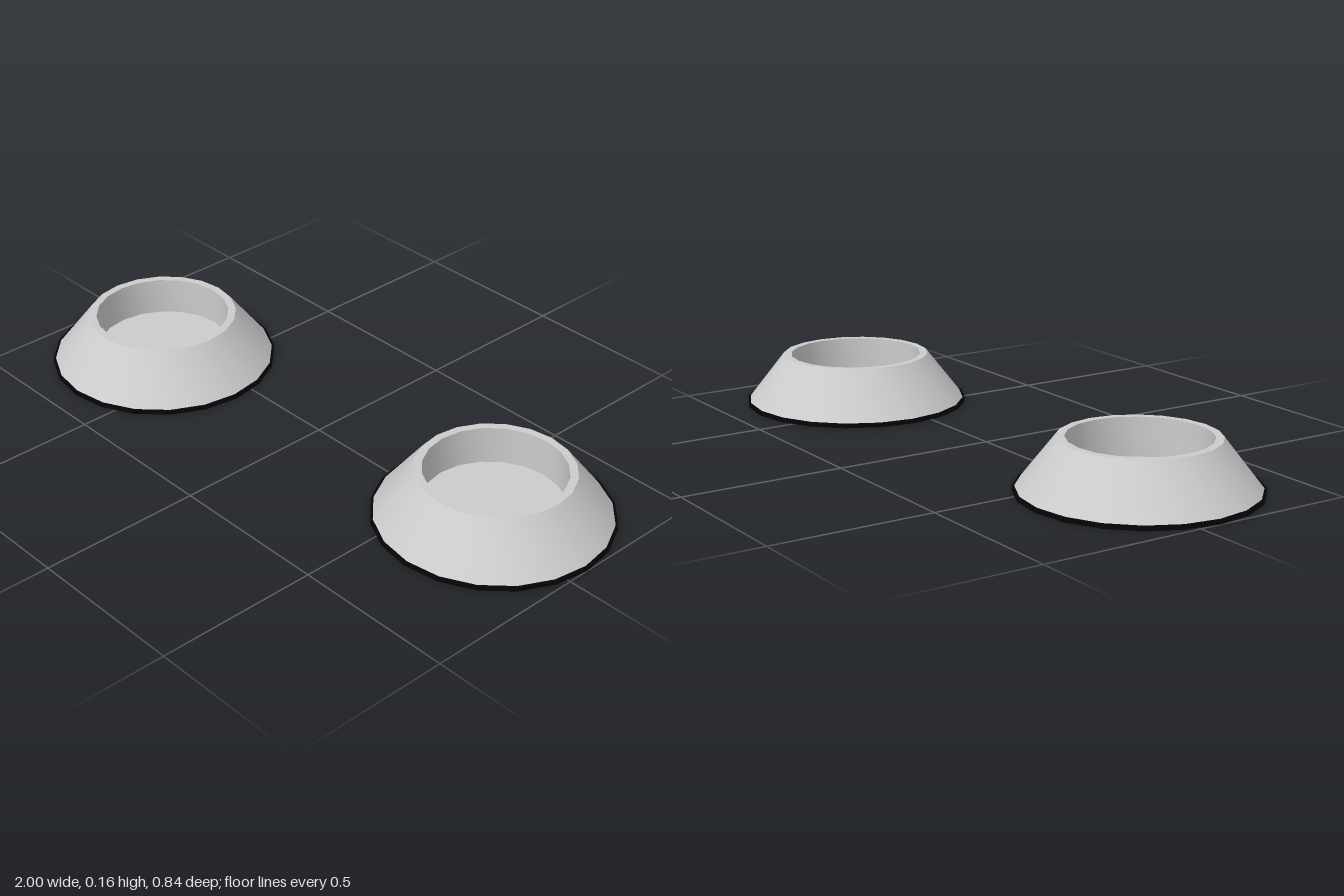
import * as THREE from 'three';
import { toCreasedNormals } from 'three/addons/utils/BufferGeometryUtils.js';

const SIDES = 20;
const grey = new THREE.MeshStandardMaterial({ color: 0xcccccc });
const black = new THREE.MeshStandardMaterial({ color: 0x050505 });

// Turned part from [radius, height] pairs, with sharp profile corners
function turned(name, profile, material) {
  const points = profile.map(([r, y]) => new THREE.Vector2(r, y));
  const geometry = toCreasedNormals(new THREE.LatheGeometry(points, SIDES), 0.5);
  const mesh = new THREE.Mesh(geometry, material);
  mesh.name = name;
  return mesh;
}

function createBowl(name, x, z) {
  const bowl = new THREE.Group();
  bowl.name = name;
  bowl.position.set(x, 0, z);
  bowl.add(
    // Sloping outside, flat rim, straight inner wall and floor
    turned('bowlBody', [[0.343, 0.013], [0.231, 0.157], [0.207, 0.157], [0.207, 0.04], [0, 0.04]], grey),
    // Dark band around the foot, with a narrow ledge on top
    turned('footBand', [[0.35, 0], [0.35, 0.013], [0.343, 0.013]], black),
    // Flat underside
    turned('underside', [[0, 0], [0.35, 0]], grey),
  );
  return bowl;
}

export function createModel() {
  const model = new THREE.Group();
  model.name = 'pairOfBowls';
  model.add(createBowl('leftBowl', 0.65, -0.07), createBowl('rightBowl', -0.65, 0.07));
  return model;
}
